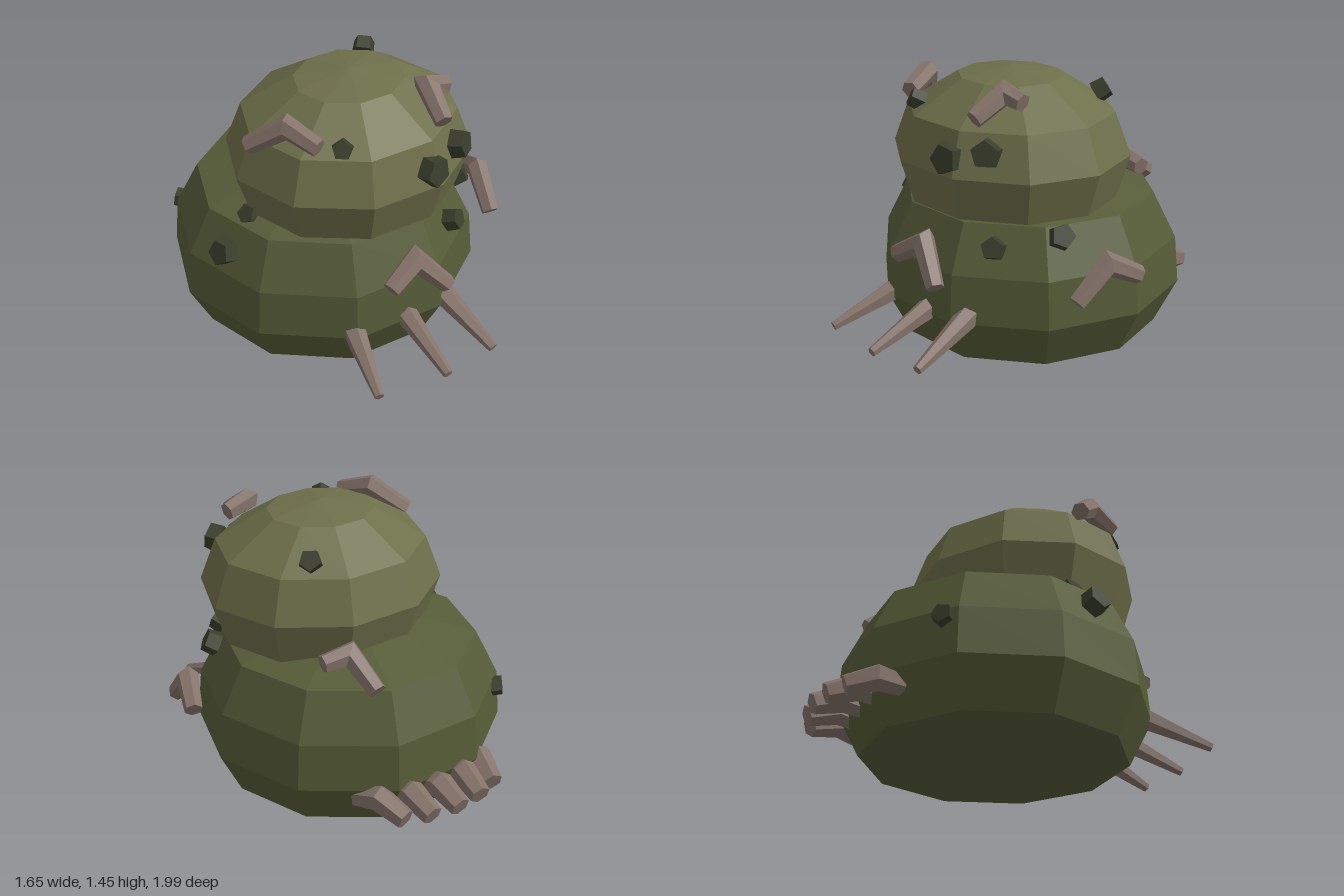
import * as THREE from 'three';

const V = (p) => new THREE.Vector3(...p);
const paint = (color) => new THREE.MeshStandardMaterial({ color, flatShading: true });

// Ten-sided boulder turned from a [radius, height] profile
function boulder(name, profile, material, x, z, depth) {
  const points = profile.map(([r, y]) => new THREE.Vector2(r, y));
  const mesh = new THREE.Mesh(new THREE.LatheGeometry(points, 10, Math.PI / 2), material);
  mesh.name = name;
  mesh.position.set(x, 0, z);
  mesh.scale.z = depth;
  return mesh;
}

// Faceted rod through a few points, mitred at each bend and capped at both ends
function rod(name, path, radii, material, sides = 6) {
  const pts = path.map(V);
  const dirs = pts.slice(1).map((p, i) => p.clone().sub(pts[i]).normalize());
  const last = dirs[dirs.length - 1];
  const bend = dirs[0].clone().cross(last);
  if (bend.length() < 0.01) bend.crossVectors(dirs[0], new THREE.Vector3(0, 1, 0));
  bend.normalize();

  const rings = pts.map((p, i) => {
    const before = dirs[Math.max(i - 1, 0)];
    const after = dirs[Math.min(i, dirs.length - 1)];
    const tangent = before.clone().add(after).normalize();
    const side = bend.clone().cross(tangent).normalize();
    const mitre = 1 / Math.max(before.dot(tangent), 0.7);
    return Array.from({ length: sides }, (_, k) => {
      const a = (k / sides) * Math.PI * 2;
      return p.clone()
        .addScaledVector(side, Math.cos(a) * radii[i] * mitre)
        .addScaledVector(bend, Math.sin(a) * radii[i]);
    });
  });

  const corners = [];
  for (let k = 0; k < sides; k++) {
    const n = (k + 1) % sides;
    for (let i = 0; i + 1 < rings.length; i++) {
      const [a, b] = [rings[i], rings[i + 1]];
      corners.push(a[k], a[n], b[n], a[k], b[n], b[k]);
    }
    const end = rings.length - 1;
    corners.push(pts[0], rings[0][n], rings[0][k]);
    corners.push(pts[end], rings[end][k], rings[end][n]);
  }
  const geometry = new THREE.BufferGeometry().setFromPoints(corners);
  geometry.computeVertexNormals();
  const mesh = new THREE.Mesh(geometry, material);
  mesh.name = name;
  return mesh;
}

// Five-sided stud pointing away from the centre of the boulder it sits on
function stud(position, radius, centre, material) {
  const mesh = new THREE.Mesh(new THREE.CylinderGeometry(radius * 0.9, radius, 0.07, 5), material);
  mesh.name = 'stud';
  mesh.position.set(...position);
  const outward = V(position).sub(V(centre)).normalize();
  mesh.quaternion.setFromUnitVectors(new THREE.Vector3(0, 1, 0), outward);
  return mesh;
}

export function createModel() {
  const group = new THREE.Group();
  const bodyGreen = paint(0x565c38);
  const headGreen = paint(0x6e6f4a);
  const brown = paint(0x85736a);
  const dark = paint(0x3a3e2c);

  // Stacked body and head
  group.add(boulder('body', [
    [0, 0], [0.34, 0], [0.65, 0.08], [0.765, 0.305], [0.745, 0.54], [0.63, 0.77], [0.34, 0.85], [0, 0.88],
  ], bodyGreen, -0.06, -0.07, 1));
  group.add(boulder('head', [
    [0, 0.74], [0.42, 0.76], [0.54, 0.8], [0.61, 1.015], [0.53, 1.225], [0.27, 1.385], [0, 1.43],
  ], headGreen, -0.01, 0.1, 0.92));

  // Bent twigs stuck onto the body and head
  const twigs = [
    [[-0.15, 0.58, 0.71], [0.01, 0.67, 0.67], [0.16, 0.5, 0.73]],
    [[0.7, 0.48, 0.34], [0.73, 0.64, 0.17], [0.79, 0.56, 0.02]],
    [[-0.58, 1.22, 0.15], [-0.44, 1.34, 0.27], [-0.37, 1.29, 0.43]],
    [[0.23, 1.29, 0.54], [0.25, 1.39, 0.37], [0.36, 1.36, 0.36]],
    [[0.2, 0.78, -0.65], [0.22, 0.9, -0.46], [0.36, 0.88, -0.44]],
  ];
  for (const path of twigs) group.add(rod('bentTwig', path, [0.045, 0.055, 0.045], brown));

  // Tapered claws reaching forward
  for (const [x, tipX, tipZ] of [[-0.28, -0.36, 0.95], [-0.01, 0, 0.99], [0.22, 0.29, 0.95]]) {
    group.add(rod('frontClaw', [[x, 0.345, 0.56], [tipX, 0.2, tipZ]], [0.062, 0.024], brown));
  }

  // Fan of drooping tail spikes
  const tail = [[-0.38, -0.31, 0.07], [-0.22, -0.19, 0.02], [-0.04, -0.05, 0], [0.12, 0.1, 0.02], [0.3, 0.22, 0.07]];
  for (const [x, tipX, inset] of tail) {
    group.add(rod('tailSpike', [
      [x, 0.24, -0.66 + inset * 0.3],
      [(x + tipX) / 2, 0.275, -0.83 + inset],
      [tipX, 0.225, -0.975 + inset],
    ], [0.055, 0.066, 0.052], brown));
  }

  // Dark studs scattered over the surfaces
  const headCentre = [0, 1.03, 0.1];
  const bodyCentre = [-0.05, 0.4, -0.07];
  const headStuds = [
    [[-0.27, 1.27, 0.47], 0.052], [[0.13, 1.1, 0.62], 0.08],
    [[0.32, 1.15, 0.55], 0.074], [[0.28, 1.3, -0.23], 0.058],
  ];
  const bodyStuds = [
    [[0.33, 0.69, 0.52], 0.06], [[0.53, 0.74, 0.27], 0.065], [[-0.73, 0.66, 0.14], 0.07],
    [[-0.56, 0.79, 0.1], 0.055], [[-0.61, 0.5, -0.56], 0.055],
  ];
  for (const [p, r] of headStuds) group.add(stud(p, r, headCentre, dark));
  for (const [p, r] of bodyStuds) group.add(stud(p, r, bodyCentre, dark));

  return group;
}
